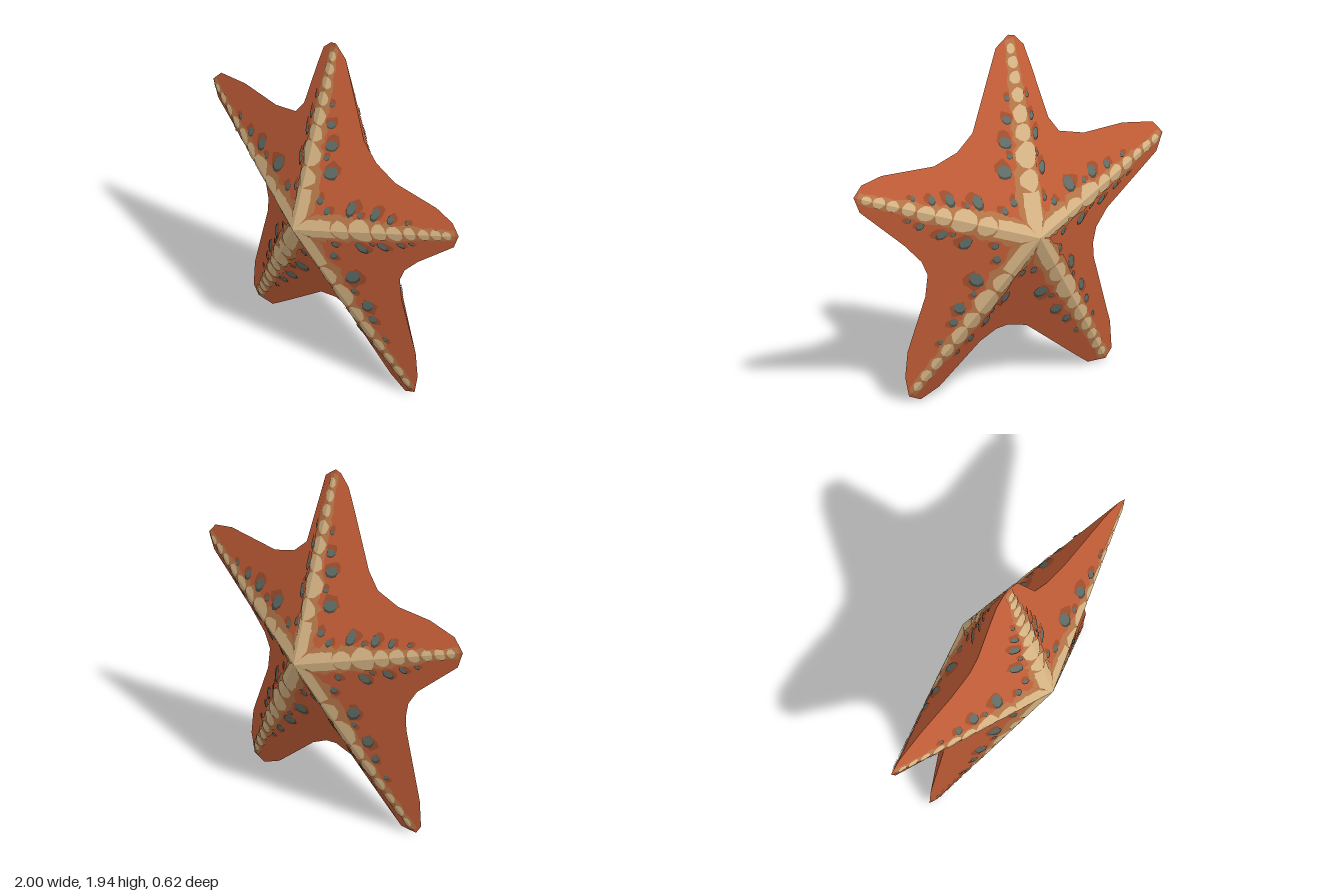
import * as THREE from 'three';

const CY = 0.88, APEX = 0.3;
// Flat outline at z = 0, clockwise from the top tip
const outline = [
  [0, 1.94], [0.08, 1.88], [0.23, 1.43], [0.33, 1.34], [0.48, 1.29], [0.82, 1.3], [0.95, 1.27],
  [1, 1.21], [0.96, 1.12], [0.67, 0.88], [0.56, 0.77], [0.52, 0.69], [0.535, 0.57], [0.65, 0.28], [0.665, 0.14],
  [0.64, 0.03], [0.565, 0], [0.445, 0.05], [0.18, 0.255], [0.075, 0.305], [0, 0.315], [-0.12, 0.29], [-0.4, 0.09], [-0.515, 0.01],
  [-0.63, 0.01], [-0.67, 0.06], [-0.66, 0.21], [-0.555, 0.59], [-0.55, 0.67], [-0.57, 0.755], [-0.64, 0.85], [-0.96, 1.11],
  [-1, 1.21], [-0.935, 1.28], [-0.74, 1.31], [-0.49, 1.3], [-0.33, 1.34], [-0.26, 1.43], [-0.15, 1.74], [-0.1, 1.87], [-0.04, 1.93],
].map(([x, y]) => [x, y - CY]);
const N = outline.length;
const tips = [0, 7, 15, 24, 32];
const cross = (a, b) => a[0] * b[1] - a[1] * b[0];

// Outline edge crossed by the ray from the centre, and how far along that ray p lies
function locate(p) {
  for (let i = 0; i < N; i++) {
    const a = outline[i], b = outline[(i + 1) % N];
    if (cross(a, p) <= 1e-9 && cross(p, b) <= 1e-9 && a[0] * p[0] + a[1] * p[1] > 0) {
      const e = [b[0] - a[0], b[1] - a[1]];
      return { edge: i, s: cross(p, e) / cross(a, e) };
    }
  }
  return { edge: 0, s: 0 };
}

// One smooth normal for each of the five faces between neighbouring ridges
const wedgeOf = (edge) => tips.filter((t) => t <= edge).length - 1;
const wedgeNormals = tips.map((t, w) => {
  const end = w < 4 ? tips[w + 1] : N;
  let area = 0;
  for (let i = t; i < end; i++) area += cross(outline[(i + 1) % N], outline[i]);
  const a = outline[t], b = outline[end % N];
  return new THREE.Vector3(-(b[1] - a[1]) * APEX, (b[0] - a[0]) * APEX, area).normalize();
});

function surfacePoint(p, lift) {
  const { s } = locate(p);
  const k = s > 0.99 ? 0.99 / s : 1;
  return [p[0] * k, p[1] * k + CY, APEX * (1 - Math.min(s, 0.99)) + lift];
}

// Add a triangle to the front and its mirror image to the back
function addTriangle(buf, pts, flat, normal) {
  const [a, b, c] = flat;
  const turn = (b[0] - a[0]) * (c[1] - a[1]) - (b[1] - a[1]) * (c[0] - a[0]);
  if (Math.abs(turn) < 1e-10) return;
  const order = turn > 0 ? [0, 1, 2] : [0, 2, 1];
  for (const side of [1, -1]) {
    for (const i of side > 0 ? order : [...order].reverse()) {
      buf.pos.push(pts[i][0], pts[i][1], pts[i][2] * side);
      buf.nor.push(normal.x, normal.y, normal.z * side);
    }
  }
}

function paint(buf, a, b, c, lift) {
  const mid = [(a[0] + b[0] + c[0]) / 3, (a[1] + b[1] + c[1]) / 3];
  const normal = wedgeNormals[wedgeOf(locate(mid).edge)];
  addTriangle(buf, [a, b, c].map((p) => surfacePoint(p, lift)), [a, b, c], normal);
}

function makeMesh(name, buf, material) {
  const g = new THREE.BufferGeometry();
  g.setAttribute('position', new THREE.Float32BufferAttribute(buf.pos, 3));
  g.setAttribute('normal', new THREE.Float32BufferAttribute(buf.nor, 3));
  const mesh = new THREE.Mesh(g, material);
  mesh.name = name;
  return mesh;
}

export function createModel() {
  const group = new THREE.Group();
  group.name = 'starfish';
  const mat = (name, color) => {
    const m = new THREE.MeshStandardMaterial({ color });
    m.name = name;
    return m;
  };
  const buffer = () => ({ pos: [], nor: [] });
  const body = buffer(), band = buffer(), halo = buffer(), pebbles = buffer(), spots = buffer(), shades = buffer();
  let seed = 7;
  const rnd = () => (seed = (seed * 16807) % 2147483647) / 2147483647;

  // Body: a fan from each apex to the shared outline
  for (let i = 0; i < N; i++) {
    const flat = [[0, 0], outline[i], outline[(i + 1) % N]];
    const pts = flat.map((p, k) => [p[0], p[1] + CY, k ? 0 : APEX]);
    addTriangle(body, pts, flat, wedgeNormals[wedgeOf(i)]);
  }

  for (const t of tips) {
    const tip = outline[t], len = Math.hypot(...tip);
    const d = [tip[0] / len, tip[1] / len];
    // Arm coordinates: distance along the ridge and sideways from it
    const at = (u, v) => [d[0] * u + d[1] * v, d[1] * u - d[0] * v];

    // Strip along the ridge with half-width width(u)
    const strip = (buf, from, to, steps, cols, lift, width) => {
      for (const side of [1, -1]) {
        let prev = null;
        for (let i = 0; i <= steps; i++) {
          const u = from + ((to - from) * i) / steps;
          const w = Math.min(width(u), u * 0.7) * side;
          const row = Array.from({ length: cols + 1 }, (_, k) => at(u, (w * k) / cols));
          if (prev) for (let k = 0; k < cols; k++) {
            paint(buf, prev[k], row[k], row[k + 1], lift);
            paint(buf, prev[k], row[k + 1], prev[k + 1], lift);
          }
          prev = row;
        }
      }
    };

    // Irregular rounded patch
    const patch = (buf, u, v, ru, rv, lift, rough, n = 10) => {
      const rings = Math.max(2, Math.ceil(Math.max(ru, rv) / 0.018));
      const rim = Array.from({ length: n }, () => 1 - rough * rnd());
      const pt = (k, r) => {
        const a = ((k % n) / n) * Math.PI * 2, f = (rim[k % n] * r) / rings;
        const onRidge = v === 0 && (k % n === 0 || k % n === n / 2);
        return at(u + Math.cos(a) * ru * f, onRidge ? 0 : v + Math.sin(a) * rv * f);
      };
      for (let r = 0; r < rings; r++) for (let k = 0; k < n; k++) {
        paint(buf, pt(k, r), pt(k, r + 1), pt(k + 1, r + 1), lift);
        if (r) paint(buf, pt(k, r), pt(k + 1, r + 1), pt(k + 1, r), lift);
      }
    };

    // Ragged tan band, and the pale ridge near the centre
    strip(band, 0, len * 0.98, 36, 6, 0.004, (u) => (0.1 - 0.07 * (u / len)) * (0.68 + 0.42 * rnd()));
    strip(pebbles, 0, 0.24, 6, 3, 0.0075, () => 0.05);

    // Pale pebbles along the ridge, shrinking to the tip
    const row = [[0.18, 0.06, 0.06], [0.3, 0.065, 0.06], [0.43, 0.08, 0.075], [0.55, 0.05, 0.055], [0.65, 0.055, 0.05],
      [0.75, 0.042, 0.042], [0.84, 0.038, 0.036], [0.92, 0.036, 0.038], [0.99, 0.03, 0.028]];
    for (const [u, ru, rv] of row) patch(pebbles, (u * len) / 1.06, 0, ru, rv, 0.0075, 0.18);

    // Grey spots in pairs, each with a rust halo and a darker lower edge
    const pairs = [[0.2, 0.098, 0.02], [0.35, 0.117, 0.036], [0.515, 0.097, 0.031], [0.625, 0.077, 0.023], [0.73, 0.064, 0.014], [0.43, 0.085, 0.014]];
    for (const side of [1, -1]) for (const [u0, v0, r] of pairs) {
      const u = u0 + (rnd() - 0.5) * 0.03, v = v0 * side;
      patch(halo, u + 0.015, v, r * 1.7, r * 1.35, 0.003, 0.4);
      const down = [-d[1] * r * 0.35, d[0] * r * 0.35];
      patch(shades, u + down[0], v + down[1], r, r, 0.006, 0.15, 8);
      patch(spots, u, v, r * 0.92, r * 0.92, 0.0075, 0.12, 8);
    }
  }

  group.add(
    makeMesh('body', body, mat('orange skin', 0xc65f38)),
    makeMesh('spotHalos', halo, mat('rust', 0xa6522f)),
    makeMesh('ridgeBand', band, mat('tan', 0xbb7a4b)),
    makeMesh('ridgePebbles', pebbles, mat('cream', 0xdcb988)),
    makeMesh('spotShades', shades, mat('dark grey', 0x4c4a40)),
    makeMesh('spots', spots, mat('grey green', 0x65716a)),
  );
  return group;
}
